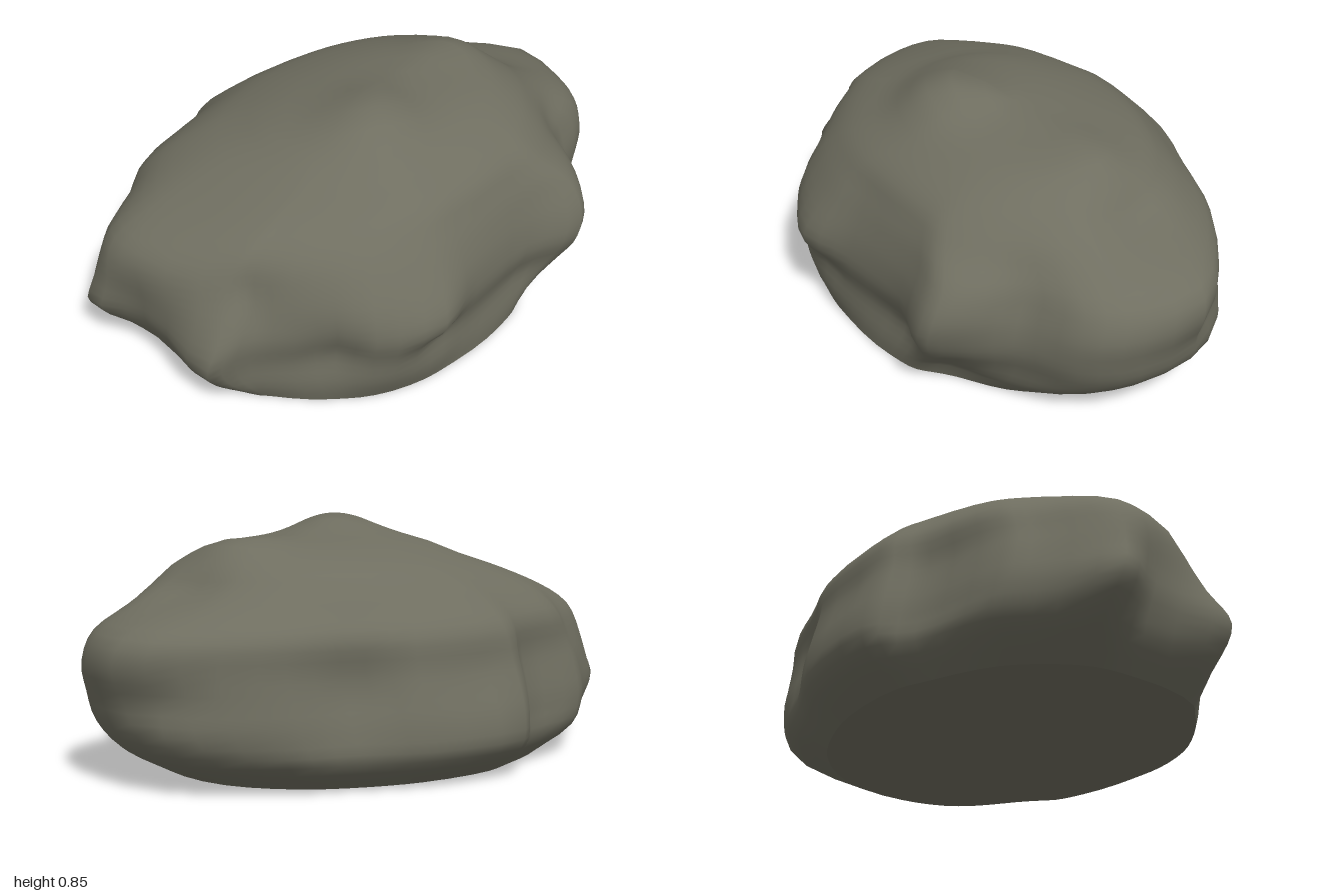
import * as THREE from 'three';
import { mergeVertices } from 'three/addons/utils/BufferGeometryUtils.js';

// Ragged plan outline of the boulder as [x, z], from the left side round by the front
const OUTLINE = [
  [1, 0], [0.92, 0.2], [0.74, 0.34], [0.64, 0.52], [0.56, 0.62], [0.34, 0.58],
  [0.05, 0.64], [-0.15, 0.71], [-0.4, 0.66], [-0.55, 0.52], [-0.74, 0.39], [-0.87, 0.36],
  [-0.93, 0], [-1, -0.2], [-0.85, -0.39], [-0.74, -0.49], [-0.43, -0.58], [-0.3, -0.72],
  [0.1, -0.72], [0.36, -0.63], [0.62, -0.55], [0.93, -0.34],
];
const DEPTH = 0.725;

// Cross-sections: height, then reach towards -x, +x, +z and -z
const RINGS = [
  [0, 0.76, 0.67, 0.6, 0.58], [0.1, 0.89, 0.85, 0.645, 0.71], [0.2, 0.95, 0.94, 0.665, 0.72],
  [0.3, 0.96, 0.965, 0.685, 0.7], [0.4, 0.95, 0.98, 0.66, 0.67], [0.5, 0.9, 0.94, 0.6, 0.65],
  [0.58, 0.79, 0.81, 0.54, 0.58], [0.65, 0.62, 0.69, 0.48, 0.51], [0.71, 0.44, 0.6, 0.38, 0.42],
  [0.77, 0.27, 0.45, 0.22, 0.23], [0.795, -0.1, 0.1, -0.02, 0.02],
];

// Lumps and hollows: x, y, z, amount outwards, width
const BUMPS = [
  // summit and shoulders
  [-0.06, 0.8, 0.13, 0.075, 0.17], [0.45, 0.76, -0.1, 0.035, 0.13],
  // right-hand side of the rock (-x)
  [-0.98, 0.22, -0.2, 0.05, 0.1], [-0.93, 0.5, -0.03, 0.045, 0.13],
  [-0.88, 0.2, 0.33, 0.05, 0.11], [-0.8, 0.45, 0.32, -0.08, 0.17],
  [-0.8, 0.5, -0.42, -0.04, 0.15],
  // front face
  [-0.15, 0.31, 0.7, 0.035, 0.1], [-0.13, 0.2, 0.64, -0.045, 0.1],
  [-0.48, 0.22, 0.55, -0.04, 0.11], [0.5, 0.08, 0.48, -0.07, 0.18],
  // left-hand side (+x)
  [0.75, 0.48, 0.27, -0.06, 0.15], [0.67, 0.58, -0.15, -0.045, 0.11],
  [0.95, 0.46, -0.22, 0.035, 0.13], [0.9, 0.31, -0.35, -0.04, 0.1],
  // back
  [0.3, 0.32, -0.62, -0.035, 0.15], [-0.12, 0.34, -0.68, -0.03, 0.13],
];

const STEPS = 3; // subdivisions between cross-sections

// Rounded counterpart of an outline point, on a unit superellipse
function rounded(x, z) {
  const r = (Math.abs(x) ** 2.15 + Math.abs(z) ** 2.15) ** (1 / 2.15);
  return [x / r, z / r];
}

function buildSections() {
  const { lerp, smoothstep } = THREE.MathUtils;
  const curve = new THREE.CatmullRomCurve3(
    OUTLINE.map(([x, z]) => new THREE.Vector3(x, 0, z / DEPTH)), true, 'centripetal');
  const count = OUTLINE.length * 3;
  const plan = Array.from({ length: count }, (_, i) => curve.getPoint(i / count));
  const spline = new THREE.CubicInterpolant(RINGS.map((_, i) => i), RINGS.flat(), 5);
  const centre = new THREE.Vector3(0, 0.3, 0);
  const sections = [];
  for (let i = 0; i <= (RINGS.length - 1) * STEPS; i++) {
    const [y, right, left, front, back] = spline.evaluate(i / STEPS);
    // The outline is most ragged around the waist and rounder at the base and top
    const ragged = smoothstep(y, -0.08, 0.2) * (1 - smoothstep(y, 0.33, 0.77));
    sections.push(plan.map((o) => {
      const [sx, sz] = rounded(o.x, o.z);
      const ox = lerp(sx, o.x, ragged);
      const oz = lerp(sz, o.z, ragged);
      const p = new THREE.Vector3(
        (left - right + ox * (left + right)) / 2, y, (front - back + oz * (front + back)) / 2);
      let push = 0;
      for (const [bx, by, bz, amount, width] of BUMPS) {
        const d2 = (p.x - bx) ** 2 + (p.y - by) ** 2 + (p.z - bz) ** 2;
        push += amount * Math.exp(-d2 / (width * width));
      }
      p.addScaledVector(p.clone().sub(centre).normalize(), push);
      p.y = i === 0 ? 0 : Math.max(p.y, 0);
      return p;
    }));
  }
  return sections;
}

function makeGeometry(points, index) {
  const g = new THREE.BufferGeometry().setFromPoints(points);
  g.setIndex(index);
  const merged = mergeVertices(g, 1e-4);
  merged.computeVertexNormals();
  return merged;
}

export function createModel() {
  const group = new THREE.Group();
  group.name = 'boulder';
  const stone = new THREE.MeshStandardMaterial({ color: 0x6f6e60 });
  stone.name = 'grey-green stone';

  const sections = buildSections();
  const n = sections[0].length;

  // Weathered stone surface
  const faces = [];
  for (let i = 0; i < sections.length - 1; i++) {
    for (let j = 0; j < n; j++) {
      const a = i * n + j, b = i * n + (j + 1) % n;
      faces.push(a, a + n, b, b, a + n, b + n);
    }
  }
  const body = new THREE.Mesh(makeGeometry(sections.flat(), faces), stone);
  body.name = 'rockSurface';

  // Flat underside
  const fan = [];
  for (let j = 0; j < n; j++) fan.push(n, j, (j + 1) % n);
  const base = new THREE.Mesh(
    makeGeometry([...sections[0], new THREE.Vector3()], fan), stone);
  base.name = 'flatBase';

  group.add(body, base);
  return group;
}
